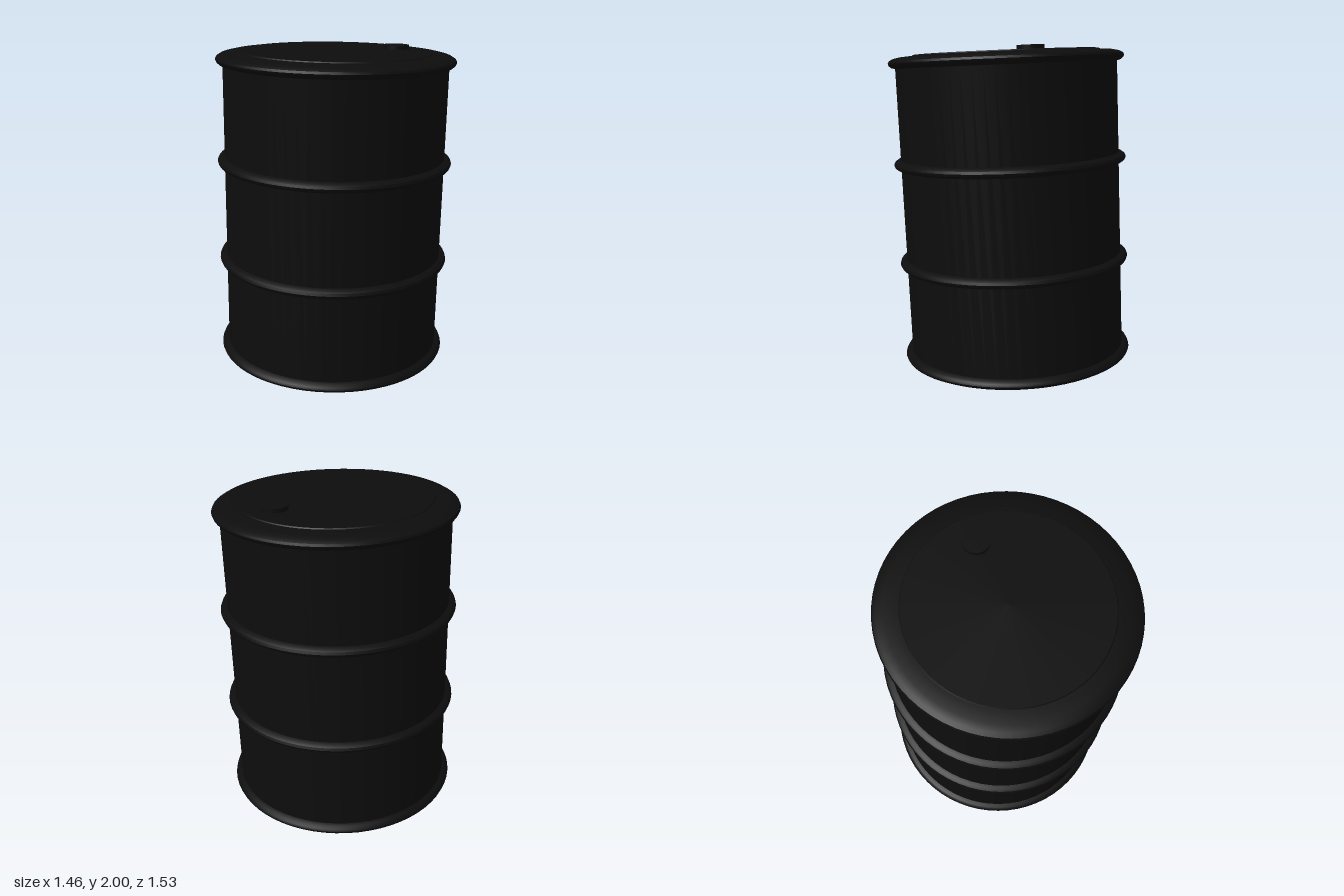
import * as THREE from 'three';
import { toCreasedNormals } from 'three/addons/utils/BufferGeometryUtils.js';

const SIDES = 64;

export function createModel() {
  const model = new THREE.Group();
  model.name = 'oilDrum';
  const black = new THREE.MeshStandardMaterial({ color: 0x0d0d0d });
  black.name = 'black paint';

  // The drum leans slightly forward about its middle
  const drum = new THREE.Group();
  drum.name = 'drum';
  drum.position.y = 1;
  drum.rotation.x = 0.042;
  model.add(drum);

  // Turned part; the profile runs from bottom to top
  function turned(name, profile) {
    const points = profile.map(([r, y]) => new THREE.Vector2(r, y));
    const geometry = toCreasedNormals(new THREE.LatheGeometry(points, SIDES), 0.5);
    const mesh = new THREE.Mesh(geometry, black);
    mesh.name = name;
    drum.add(mesh);
    return mesh;
  }

  turned('wall', [[0.685, -0.92], [0.685, 0.92]]);

  // Rolled hoops around the wall
  for (const [name, y] of [['upperHoop', 0.306], ['lowerHoop', -0.323]]) {
    turned(name, [
      [0.68, -0.033], [0.705, -0.027], [0.722, -0.015], [0.728, 0],
      [0.722, 0.015], [0.705, 0.027], [0.68, 0.033],
    ]).position.y = y;
  }

  // Top rim rising to the flat lid
  turned('lid', [
    [0.68, 0.893], [0.708, 0.9], [0.722, 0.912], [0.728, 0.927], [0.722, 0.94],
    [0.7, 0.953], [0.66, 0.962], [0.6, 0.967], [0.58, 0.968], [0.575, 0.974], [0, 0.974],
  ]);

  // Bottom rim and base
  turned('base', [
    [0, -0.974], [0.58, -0.974], [0.62, -0.97], [0.66, -0.962], [0.7, -0.95],
    [0.722, -0.938], [0.728, -0.924], [0.722, -0.91], [0.708, -0.898], [0.68, -0.891],
  ]);

  // Filler cap
  const cap = new THREE.Mesh(new THREE.CylinderGeometry(0.08, 0.08, 0.035, 32), black);
  cap.name = 'fillerCap';
  cap.position.set(0.41, 0.982, -0.02);
  drum.add(cap);

  return model;
}
